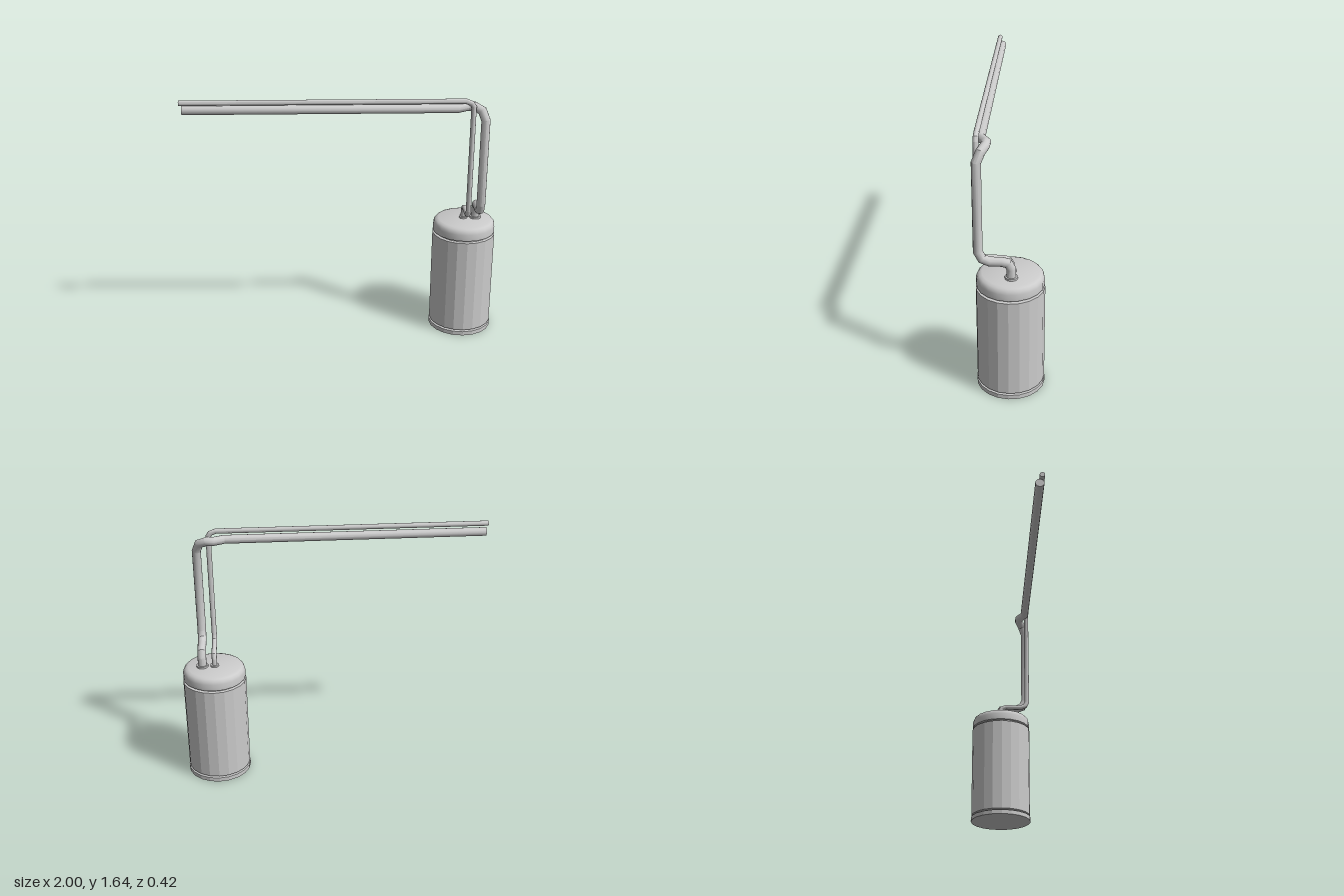
import * as THREE from 'three';
import { toCreasedNormals } from 'three/addons/utils/BufferGeometryUtils.js';

const SIDES = 20;
const AXIS_X = 0.792;

// Pipe with mitred bends: each ring is slid along its segment onto the bisecting plane.
function pipeGeometry(points, radius, sides = 12) {
  const pts = points.map((p) => new THREE.Vector3(...p));
  const dirs = pts.slice(1).map((p, i) => p.clone().sub(pts[i]).normalize());
  const u = new THREE.Vector3(1, 0, 0);
  const v = dirs[0].clone().cross(u).normalize();
  let ring = [];
  for (let i = 0; i < sides; i++) {
    const a = (i / sides) * Math.PI * 2;
    ring.push(pts[0].clone().addScaledVector(u, Math.cos(a) * radius).addScaledVector(v, Math.sin(a) * radius));
  }
  const verts = [...ring];
  for (let k = 1; k < pts.length; k++) {
    const d = dirs[k - 1];
    const n = d.clone().add(dirs[k] ?? d).normalize();
    ring = ring.map((p) => p.clone().addScaledVector(d, pts[k].clone().sub(p).dot(n) / d.dot(n)));
    verts.push(...ring);
  }
  const index = [];
  const last = (pts.length - 1) * sides;
  const c0 = verts.push(pts[0]) - 1;
  const c1 = verts.push(pts[pts.length - 1]) - 1;
  for (let i = 0; i < sides; i++) {
    const j = (i + 1) % sides;
    for (let k = 0; k < last; k += sides) {
      index.push(k + i, k + j, k + sides + j, k + i, k + sides + j, k + sides + i);
    }
    index.push(c0, j, i, c1, last + i, last + j);
  }
  const geo = new THREE.BufferGeometry().setFromPoints(verts);
  geo.setIndex(index);
  return toCreasedNormals(geo, 0.6);
}

export function createModel() {
  const model = new THREE.Group();
  const smooth = new THREE.MeshStandardMaterial({ color: 0xcccccc });
  const flat = new THREE.MeshStandardMaterial({ color: 0xcccccc, flatShading: true });

  function add(name, geometry, material = smooth, x = 0, y = 0, z = 0) {
    const mesh = new THREE.Mesh(geometry, material);
    mesh.name = name;
    mesh.position.set(x, y, z);
    model.add(mesh);
  }
  function disc(name, radius, y0, y1, material = flat, x = AXIS_X, z = 0) {
    add(name, new THREE.CylinderGeometry(radius, radius, y1 - y0, SIDES), material, x, (y0 + y1) / 2, z);
  }

  // Tank: base ring, recessed neck, faceted body, recessed neck
  disc('baseRing', 0.208, 0, 0.028);
  disc('lowerGroove', 0.16, 0.028, 0.04);
  disc('tankBody', 0.205, 0.04, 0.675);
  disc('upperGroove', 0.18, 0.675, 0.69);

  // Lid with a rounded shoulder
  const lidProfile = [
    [0, 0.69], [0.202, 0.69], [0.202, 0.732], [0.197, 0.75],
    [0.186, 0.763], [0.168, 0.77], [0, 0.77],
  ].map(([r, y]) => new THREE.Vector2(r, y));
  add('lid', toCreasedNormals(new THREE.LatheGeometry(lidProfile, SIDES), 0.7), smooth, AXIS_X);

  // Flanges where the pipes enter the lid
  disc('thickPipeFlange', 0.038, 0.765, 0.782, flat, 0.866, -0.01);
  disc('thinPipeFlange', 0.028, 0.765, 0.78, flat, 0.787, -0.008);

  // Thick pipe: rises, steps forward, climbs, then passes behind the thin pipe
  add('thickPipe', pipeGeometry([
    [0.866, 0.77, -0.01], [0.866, 0.833, -0.01], [0.866, 0.868, 0.008],
    [0.866, 0.876, 0.045], [0.866, 0.876, 0.115], [0.866, 0.894, 0.158],
    [0.866, 0.94, 0.181], [0.866, 1.495, 0.181], [0.845, 1.55, 0.158],
    [0.8, 1.572, 0.135], [0.755, 1.572, 0.134], [0.69, 1.57, 0.171],
    [-0.985, 1.57, 0.171],
  ], 0.028));

  // Thin pipe: same route in front and slightly above
  add('thinPipe', pipeGeometry([
    [0.787, 0.77, -0.008], [0.787, 0.82, -0.008], [0.787, 0.846, 0.006],
    [0.787, 0.857, 0.035], [0.787, 0.857, 0.145], [0.787, 0.87, 0.175],
    [0.787, 0.9, 0.189], [0.787, 1.585, 0.189], [0.774, 1.606, 0.189],
    [0.738, 1.62, 0.188], [-1, 1.62, 0.186],
  ], 0.0165));

  return model;
}
